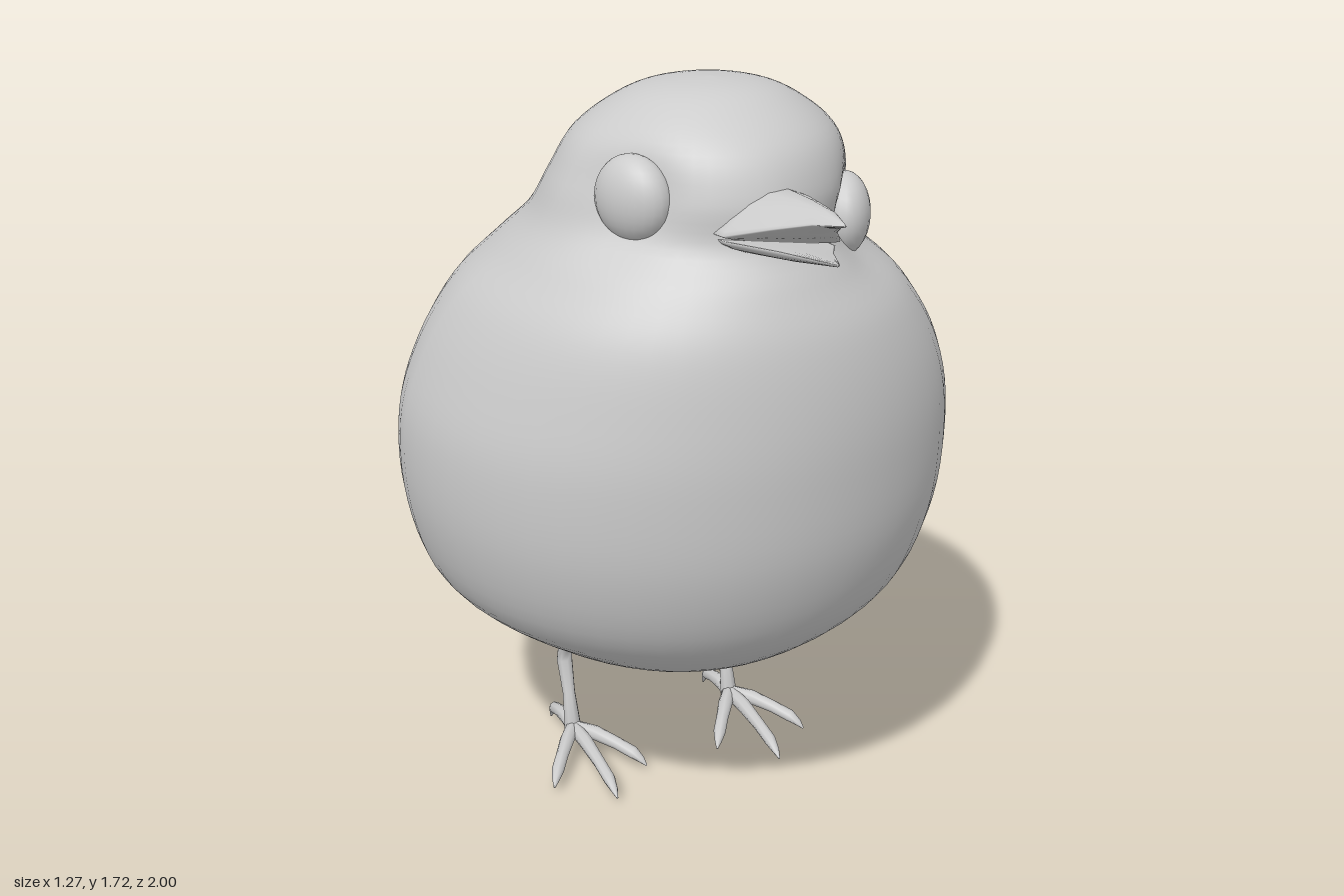
import * as THREE from 'three';

const grey = new THREE.MeshStandardMaterial({ color: 0xcccccc });
const V = (x, y, z) => new THREE.Vector3(x, y, z);

// Skin closed rings of points, with a fan cap at each end.
function loft(rings) {
  const n = rings[0].length, pos = [], idx = [];
  rings.forEach(r => r.forEach(p => pos.push(p.x, p.y, p.z)));
  for (let i = 0; i < rings.length - 1; i++) {
    for (let j = 0; j < n; j++) {
      const a = i * n + j, b = i * n + (j + 1) % n;
      idx.push(a, a + n, b, b, a + n, b + n);
    }
  }
  [0, rings.length - 1].forEach((r, end) => {
    const c = rings[r].reduce((s, p) => s.add(p), V(0, 0, 0)).divideScalar(n);
    const k = pos.length / 3;
    pos.push(c.x, c.y, c.z);
    for (let j = 0; j < n; j++) {
      const a = r * n + j, b = r * n + (j + 1) % n;
      if (end) idx.push(k, b, a); else idx.push(k, a, b);
    }
  });
  const g = new THREE.BufferGeometry();
  g.setAttribute('position', new THREE.Float32BufferAttribute(pos, 3));
  g.setIndex(idx);
  g.computeVertexNormals();
  return g;
}

function add(parent, name, geometry) {
  const m = new THREE.Mesh(geometry, grey);
  m.name = name;
  parent.add(m);
  return m;
}

// Tapered limb through points, one radius per point.
function limb(points, radii, sides = 8) {
  return loft(points.map((p, i) => {
    const d = points[Math.min(i + 1, points.length - 1)].clone()
      .sub(points[Math.max(i - 1, 0)]).normalize();
    const u = V(1, 0, 0).cross(d);
    if (u.length() < 0.3) u.set(0, 1, 0).cross(d);
    u.normalize();
    const v = u.clone().cross(d);
    return Array.from({ length: sides }, (_, j) => {
      const a = j / sides * Math.PI * 2;
      return p.clone().addScaledVector(u, radii[i] * Math.cos(a)).addScaledVector(v, radii[i] * Math.sin(a));
    });
  }));
}

const eyes = [V(0.245, 1.43, 0.61), V(-0.24, 1.515, 0.61)];

// Body and head: horizontal egg-shaped slices.
function bodyGeometry() {
  // y, back z, front z, half width, z of widest point, centre x, back power, front power
  const slices = [
    [0.31, 0.25, 0.25, 0, 0.25, 0, 2, 2],
    [0.325, 0.1, 0.4, 0.13, 0.25, 0, 2, 2],
    [0.37, -0.1, 0.55, 0.265, 0.25, 0, 1.9, 2],
    [0.45, -0.25, 0.7, 0.41, 0.25, 0, 1.8, 2],
    [0.57, -0.42, 0.82, 0.555, 0.26, 0, 1.65, 2],
    [0.75, -0.51, 0.89, 0.622, 0.26, 0, 1.6, 2],
    [0.95, -0.42, 0.91, 0.632, 0.26, 0, 1.6, 2],
    [1.11, -0.29, 0.905, 0.59, 0.27, 0, 1.65, 2],
    [1.25, -0.16, 0.88, 0.505, 0.31, -0.015, 1.75, 2],
    [1.35, -0.03, 0.835, 0.405, 0.37, -0.03, 1.9, 1.9],
    [1.43, 0.075, 0.785, 0.355, 0.42, -0.02, 2, 1.75],
    [1.52, 0.14, 0.78, 0.33, 0.45, -0.01, 2, 1.75],
    [1.61, 0.2, 0.74, 0.28, 0.46, -0.01, 2, 1.85],
    [1.68, 0.29, 0.65, 0.185, 0.47, -0.01, 2, 2],
    [1.71, 0.38, 0.58, 0.1, 0.48, -0.01, 2, 2],
    [1.72, 0.49, 0.49, 0, 0.49, -0.01, 2, 2],
  ];
  const steps = 5, sides = 56, rings = [];
  const at = (i, k) => slices[Math.max(0, Math.min(slices.length - 1, i))][k];
  for (let s = 0; s <= (slices.length - 1) * steps; s++) {
    const i = Math.floor(s / steps), t = s / steps - i;
    const [y, back, front, w, zc, xc, pb, pf] = slices[0].map((_, k) => {
      const a = at(i - 1, k), b = at(i, k), c = at(i + 1, k), d = at(i + 2, k);
      return b + 0.5 * t * (c - a + t * (2 * a - 5 * b + 4 * c - d + t * (3 * (b - c) + d - a)));
    });
    rings.push(Array.from({ length: sides }, (_, j) => {
      const a = j / sides * Math.PI * 2, c = Math.cos(a), q = Math.sin(a);
      const e = 2 / (q > 0 ? pf : pb);
      const p = V(
        xc + Math.max(w, 0) * Math.sign(c) * Math.abs(c) ** e, y,
        zc + (q > 0 ? front - zc : back - zc) * Math.abs(q) ** e);
      // Shallow eye sockets
      eyes.forEach(o => { p.x *= 1 - 0.17 * Math.exp(-((p.distanceTo(o) / 0.11) ** 2)); });
      return p;
    }));
  }
  return loft(rings);
}

// One half of the beak; rows are z, half width, edge height, rise, drop.
function mandible(rows) {
  return loft(rows.map(([z, w, y, up, down]) => Array.from({ length: 20 }, (_, j) => {
    const a = j / 20 * Math.PI * 2, s = -Math.sin(a);
    return V(w * Math.cos(a), y + (s > 0 ? up * s * s : down * s), z);
  })));
}

// Flat feather with a rounded tip, laid from root to tip.
function feather(root, tip, normal) {
  const dir = tip.clone().sub(root), L = dir.length(), w = 0.108, r = 0.075;
  dir.normalize();
  const side = dir.clone().cross(normal).normalize();
  const s = new THREE.Shape();
  s.moveTo(-0.03, 0);
  s.lineTo(0.03, 0);
  s.lineTo(w, L - r);
  s.absellipse(0, L - r, w, r, 0, Math.PI, false);
  s.lineTo(-0.03, 0);
  const g = new THREE.ExtrudeGeometry(s, { depth: 0.016, bevelEnabled: false, curveSegments: 10 });
  const m = new THREE.Matrix4().makeBasis(side, dir, side.clone().cross(dir));
  return g.applyMatrix4(m.setPosition(root));
}

export function createModel() {
  const bird = new THREE.Group();
  bird.name = 'bird';
  add(bird, 'bodyAndHead', bodyGeometry());

  // Eyes
  eyes.forEach((p, i) => {
    const eye = add(bird, i ? 'rightEye' : 'leftEye', new THREE.SphereGeometry(1, 24, 16));
    eye.scale.set(0.057, 0.09, 0.09);
    eye.position.copy(p);
    eye.rotation.y = i ? 0.46 : -0.46;
  });

  // Open beak, rolled with the tilted head
  const beak = new THREE.Group();
  beak.name = 'beak';
  beak.position.set(0.012, 1.475, 0);
  beak.rotation.z = -0.15;
  bird.add(beak);
  add(beak, 'upperBeak', mandible([
    [0.68, 0.145, -0.035, 0.1, 0.008], [0.78, 0.135, -0.028, 0.1, 0.008],
    [0.86, 0.075, 0.01, 0.064, 0.008], [0.94, 0.034, 0.042, 0.03, 0.006], [1, 0.004, 0.056, 0.004, 0.003]]));
  add(beak, 'lowerBeak', mandible([
    [0.68, 0.14, -0.045, 0.004, 0.025], [0.78, 0.125, -0.038, 0.004, 0.025],
    [0.88, 0.062, -0.028, 0.003, 0.02], [1, 0.005, -0.018, 0.002, 0.005]]));

  // Tail fan, arched so the outer feathers sit lower
  const tail = new THREE.Group();
  tail.name = 'tail';
  bird.add(tail);
  const tips = [V(-0.26, 0.405, -0.8), V(-0.11, 0.39, -0.94), V(0.085, 0.37, -0.985),
    V(0.265, 0.38, -0.92), V(0.415, 0.405, -0.79)];
  tips.forEach((tip, i) => {
    const k = i - 2;
    const root = V(0.05 + k * 0.045, 0.84 - Math.abs(k) * 0.012, -0.41);
    add(tail, 'tailFeather', feather(root, tip, V(k * 0.14, 0.77, -0.64)));
  });

  // Short feathers over the tail root
  [-1, 0, 1].forEach(k => {
    const c = add(bird, 'tailCovert', new THREE.SphereGeometry(1, 20, 14));
    c.scale.set(k ? 0.05 : 0.095, k ? 0.11 : 0.13, 0.035);
    c.position.set(0.05 + k * 0.125, k ? 0.895 : 0.925, k ? -0.37 : -0.405);
    c.rotation.set(0.68, 0, k * 0.2);
  });

  // Legs and feet
  [1, -1].forEach(s => {
    const leg = new THREE.Group();
    leg.name = s > 0 ? 'leftLeg' : 'rightLeg';
    leg.position.x = s * 0.215;
    bird.add(leg);
    add(leg, 'shank', limb([V(-0.01 * s, 0.42, 0.245), V(-0.008 * s, 0.34, 0.195), V(0, 0.26, 0.145),
      V(0, 0.22, 0.138), V(0, 0.14, 0.165), V(0, 0.05, 0.19)], [0.02, 0.019, 0.019, 0.02, 0.016, 0.022]));
    // Sideways and forward reach of each toe
    [[0, 0.28], [0.12, 0.18], [-0.12, 0.18], [0, -0.15]].forEach(([x, z], i) => {
      const at = (t, y) => V(x * t, y, 0.19 + z * t);
      add(leg, i < 3 ? 'frontToe' : 'hindToe', limb(
        [at(-0.05, 0.055), at(0.3, 0.06), at(0.6, 0.052), at(0.82, 0.042), at(0.93, 0.03), at(1, i === 3 ? 0.003 : 0.018)],
        [0.017, 0.018, 0.015, 0.015, 0.009, 0.002]));
    });
  });
  return bird;
}
